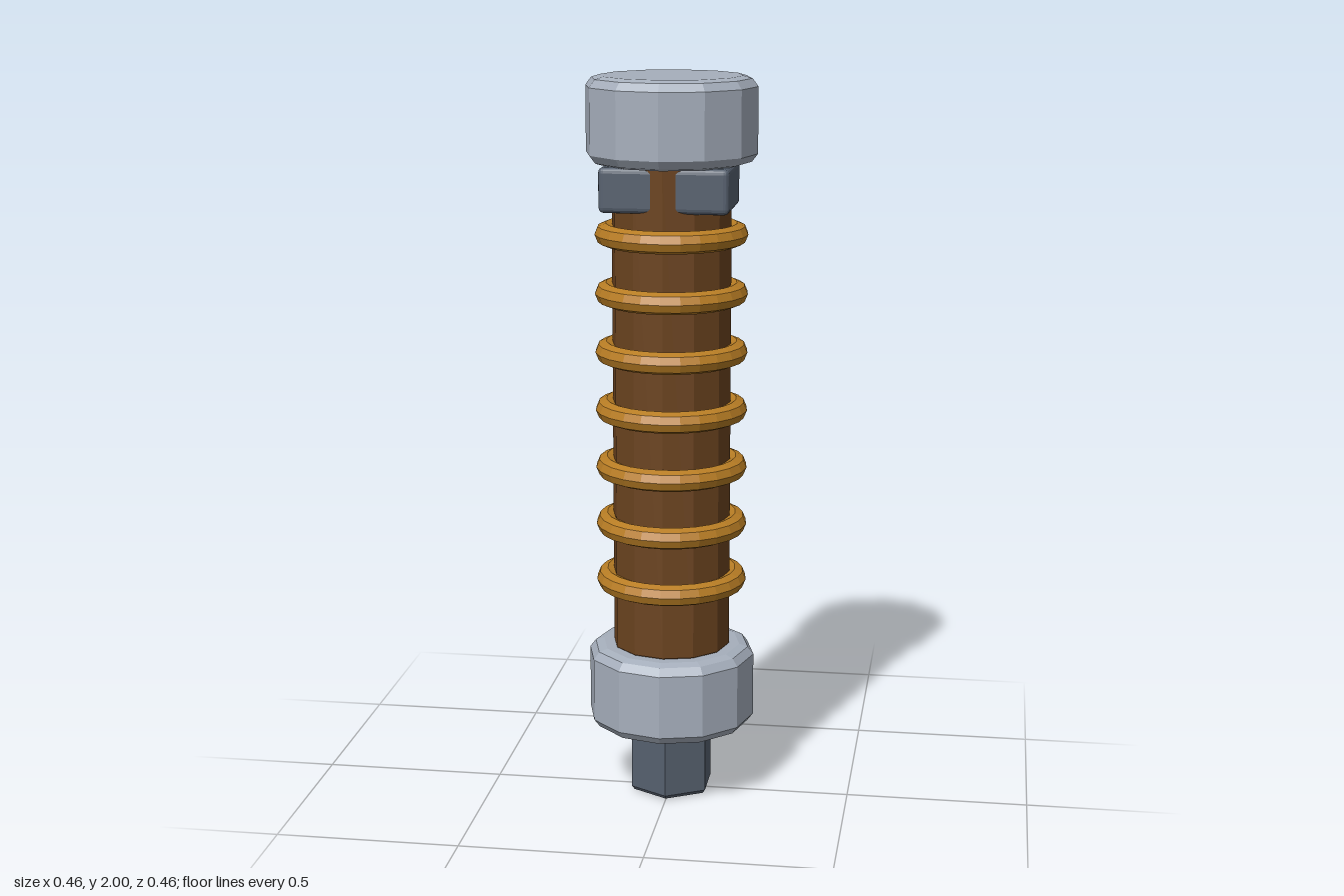
import * as THREE from 'three';
import { RoundedBoxGeometry } from 'three/addons/geometries/RoundedBoxGeometry.js';

const material = (color, flatShading = true) => new THREE.MeshStandardMaterial({ color, flatShading });

// Faceted prism standing from y0 to y1 with a two-step bevel at both ends
function prism(radius, y0, y1, sides, bevel) {
  const inner = radius - bevel, mid = radius - bevel * 0.4;
  const drop = bevel * 0.7, step = drop * 0.25;
  const profile = [
    [0, y0], [inner, y0], [mid, y0 + step], [radius, y0 + drop],
    [radius, y1 - drop], [mid, y1 - step], [inner, y1], [0, y1],
  ].map(([x, y]) => new THREE.Vector2(x, y));
  return new THREE.LatheGeometry(profile, sides);
}

// Softened box given by its limits on each axis
function block(x0, x1, y0, y1, z0, z1, radius) {
  const box = new RoundedBoxGeometry(x1 - x0, y1 - y0, z1 - z0, 2, radius);
  return box.translate((x0 + x1) / 2, (y0 + y1) / 2, (z0 + z1) / 2);
}

export function createModel() {
  const group = new THREE.Group();
  const steel = material(0xa6afbc);
  const darkSteel = material(0x56606e);
  const leather = material(0x6b431f);
  const brass = material(0xb87d24);

  const add = (name, geometry, mat) => {
    const mesh = new THREE.Mesh(geometry, mat);
    mesh.name = name;
    group.add(mesh);
    return mesh;
  };

  // Central grip and the two end collars
  add('grip', prism(0.162, 0.42, 1.78, 12, 0.02), leather);
  add('lowerCollar', prism(0.231, 0.2, 0.432, 12, 0.04), steel);
  add('upperCollar', prism(0.231, 1.768, 2, 12, 0.04), steel);

  // Hexagonal stub at the bottom
  add('stub', prism(0.12, 0, 0.21, 6, 0.02), darkSteel);

  // Evenly spaced rings around the grip
  const ring = new THREE.TorusGeometry(0.177, 0.03, 8, 24).rotateX(Math.PI / 2);
  for (let i = 0; i < 7; i++) {
    add('ring' + (i + 1), ring, brass).position.y = 0.62 + i * 0.16;
  }

  // Long rail down the back
  add('backRail', block(-0.05, 0.05, 0.53, 1.675, -0.21, -0.145, 0.015), brass);

  // Pair of blocks under the upper collar
  for (const [name, side] of [['leftBlock', 1], ['rightBlock', -1]]) {
    const x = [side * 0.011, side * 0.173].sort((a, b) => a - b);
    add(name, block(x[0], x[1], 1.65, 1.77, -0.087, 0.153, 0.015), darkSteel);
  }

  return group;
}
